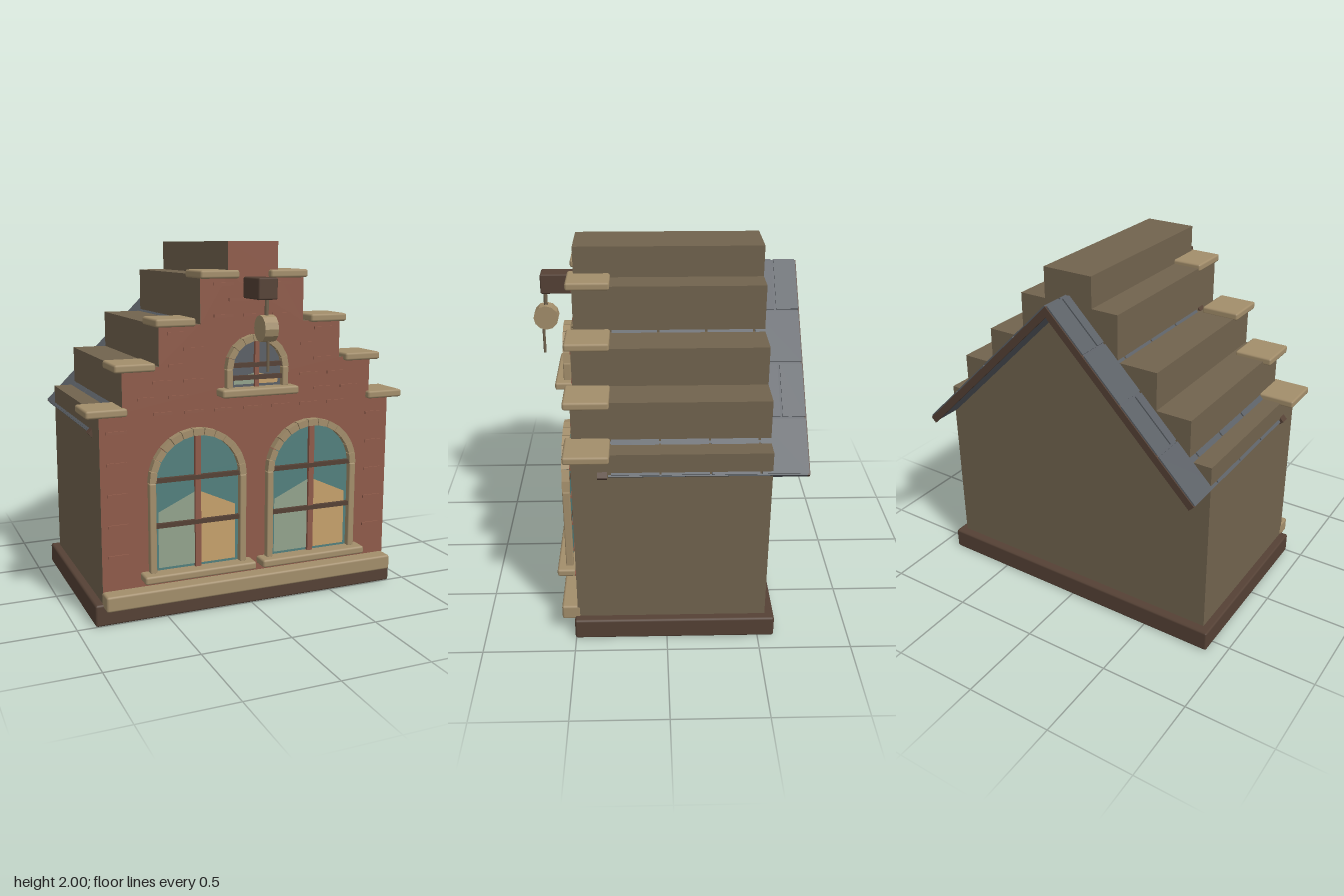
import * as THREE from 'three';
import { RoundedBoxGeometry } from 'three/addons/geometries/RoundedBoxGeometry.js';

const mat = (name, color, side = THREE.FrontSide) => {
  const m = new THREE.MeshStandardMaterial({ color, side });
  m.name = name;
  return m;
};

export function createModel() {
  const brick = mat('brick red', 0x8f5b4a);
  const stone = mat('sandstone', 0xa38e6b);
  const wall = mat('plaster brown', 0x71634e);
  const wood = mat('dark wood', 0x554135);
  const slate = mat('slate', 0x5b6066);
  const glass = mat('teal glass', 0x53807d, THREE.DoubleSide);
  const pale = mat('pale curtain', 0x93a38d, THREE.DoubleSide);
  const tan = mat('tan curtain', 0xc6a16c, THREE.DoubleSide);

  const model = new THREE.Group();
  model.name = 'steppedGableHouse';

  const add = (parent, name, geo, material, x = 0, y = 0, z = 0) => {
    const m = new THREE.Mesh(geo, material);
    m.name = name;
    m.position.set(x, y, z);
    parent.add(m);
    return m;
  };
  // box given by its limits, with optional rounded edges
  const box = (parent, name, material, [x0, x1], [y0, y1], [z0, z1], r = 0) => {
    const s = [x1 - x0, y1 - y0, z1 - z0];
    const geo = r ? new RoundedBoxGeometry(...s, 1, r) : new THREE.BoxGeometry(...s);
    return add(parent, name, geo, material, (x0 + x1) / 2, (y0 + y1) / 2, (z0 + z1) / 2);
  };
  const polygon = (pts) => new THREE.Shape(pts.map(([x, y]) => new THREE.Vector2(x, y)));

  // stepped body with a brick front: [half width, top of step]
  const steps = [[0.855, 1.135], [0.73, 1.365], [0.53, 1.575], [0.3, 1.83], [0.145, 2]];
  const half = [[0.855, 0.05]];
  steps.forEach(([w, top], i) => {
    half.push([w, top]);
    if (steps[i + 1]) half.push([steps[i + 1][0], top]);
  });
  const outline = polygon([...half, ...half.slice().reverse().map(([x, y]) => [-x, y])]);
  add(model, 'body', new THREE.ExtrudeGeometry(outline, { depth: 1.029, bevelEnabled: false }), wall, 0, 0, -0.54);
  add(model, 'brickFront', new THREE.ShapeGeometry(outline), brick, 0, 0, 0.49);

  // base and plinth
  box(model, 'base', wood, [-0.9, 0.9], [0, 0.12], [-0.59, 0.505], 0.012);
  box(model, 'plinth', stone, [-0.857, 0.857], [0.1, 0.185], [0.47, 0.575], 0.012);

  // coping stones on the steps: [inner x, outer x, bottom]
  const copings = [[0.71, 0.93, 1.12], [0.557, 0.777, 1.345], [0.335, 0.555, 1.568], [0.09, 0.31, 1.81]];
  for (const s of [-1, 1]) {
    for (const [a, b, y] of copings) {
      box(model, 'coping', stone, s > 0 ? [a, b] : [-b, -a], [y, y + 0.043], [0.29, 0.525], 0.012);
    }
  }

  // raised brick courses, kept clear of the windows and the edges
  const inWindow = (x, y) =>
    (y < 1.08 && Math.abs(Math.abs(x) - 0.338) < 0.36) ||
    (y > 1.15 && y < 1.56 && Math.abs(x) < 0.27);
  for (let row = 0; row < 19; row++) {
    const y = 0.28 + row * 0.083;
    const limit = steps.find(([, top]) => y < top - 0.03)[0] - 0.07;
    for (let i = -5; i <= 5; i++) {
      const x = i * 0.17 + (row % 2) * 0.085;
      const edge = Math.abs(x) > 0.74 && y < 1.08;
      if (Math.abs(x) > limit || (inWindow(x, y) && !edge)) continue;
      box(model, 'brickCourse', brick, [x - 0.055, x + 0.055], [y, y + 0.016], [0.488, 0.498]);
    }
  }

  // arched window: stone surround, panes, curtains, bars and sill
  const archedWindow = (cx, o) => {
    const g = new THREE.Group();
    g.name = o.name;
    g.position.x = cx;
    model.add(g);
    const { outer, inner, bottom, spring } = o;
    const pane = new THREE.Shape();
    pane.moveTo(-inner, bottom);
    pane.lineTo(inner, bottom);
    pane.lineTo(inner, spring);
    pane.absarc(0, spring, inner, 0, Math.PI, false);
    pane.closePath();
    add(g, 'pane', new THREE.ShapeGeometry(pane, 20), o.glass, 0, 0, 0.531);

    // jambs and arch stones
    for (const s of [-1, 1]) {
      const xs = s > 0 ? [inner, outer] : [-outer, -inner];
      box(g, 'jamb', stone, xs, [bottom, spring], [0.523, 0.565], 0.006);
    }
    const n = o.blocks;
    for (let i = 0; i < n; i++) {
      const a0 = (i / n) * Math.PI + 0.008, a1 = ((i + 1) / n) * Math.PI - 0.008;
      const block = polygon([[inner, a0], [outer, a0], [outer, a1], [inner, a1]]
        .map(([r, a]) => [r * Math.cos(a), spring + r * Math.sin(a)]));
      add(g, 'archStone', new THREE.ExtrudeGeometry(block, { depth: 0.042, bevelEnabled: false }), stone, 0, 0, 0.523);
    }

    // curtains rising to the middle
    for (const s of [-1, 1]) {
      const w = inner - 0.018, y0 = bottom + 0.018;
      const cloth = polygon([[0, y0], [s * w, y0], [s * w, o.curtain[0]], [0, o.curtain[1]]]);
      add(g, 'curtain', new THREE.ShapeGeometry(cloth), s < 0 ? pale : tan, 0, 0, 0.535);
    }

    // mullion, transoms and sill
    box(g, 'mullion', brick, [-o.bar, o.bar], [bottom, spring + inner], [0.53, 0.55]);
    for (const y of o.rails) box(g, 'transom', wood, [-inner, inner], [y - 0.012, y + 0.012], [0.53, 0.555]);
    box(g, 'sill', stone, [-o.sill, o.sill], [bottom - 0.04, bottom + 0.004], [0.51, 0.612], 0.012);
  };
  const large = {
    name: 'largeWindow', outer: 0.275, inner: 0.238, bottom: 0.275, spring: 0.765, blocks: 13,
    glass, curtain: [0.6, 0.7], bar: 0.016, rails: [0.53, 0.775], sill: 0.318,
  };
  archedWindow(-0.338, large);
  archedWindow(0.338, large);
  archedWindow(0, {
    name: 'atticWindow', outer: 0.18, inner: 0.145, bottom: 1.235, spring: 1.34, blocks: 9,
    glass: slate, curtain: [1.28, 1.315], bar: 0.012, rails: [1.29, 1.357], sill: 0.222,
  });

  // pitched roof with tiles and edge boards
  const length = 1.22;
  for (const s of [-1, 1]) {
    const slope = new THREE.Group();
    slope.name = s > 0 ? 'leftRoofSlope' : 'rightRoofSlope';
    slope.position.y = 1.875;
    slope.rotation.z = -s * Math.PI / 4;
    model.add(slope);
    const along = (a, b) => (s > 0 ? [a, b] : [-b, -a]);
    box(slope, 'roofSlab', slate, along(0, length), [-0.035, 0], [-0.718, 0.3]);
    box(slope, 'rearEdgeBoard', wood, along(0, length), [-0.04, 0], [-0.73, -0.718]);
    box(slope, 'frontEdgeBoard', wood, along(0, length + 0.01), [-0.05, 0.012], [0.305, 0.355]);
    for (let row = 0; row < 4; row++) {
      const d0 = row * length / 4 + 0.006, d1 = (row + 1) * length / 4 - 0.006;
      for (let i = -1; i < 5; i++) {
        const start = -0.6 + i * 0.257 + (row % 2) * 0.12;
        const z0 = Math.max(start + 0.006, -0.724), z1 = Math.min(start + 0.251, 0.3);
        if (z1 - z0 > 0.02) box(slope, 'roofTile', slate, along(d0, d1), [-0.002, 0.008], [z0, z1]);
      }
    }
  }

  // hoist beam, pulley and rope
  box(model, 'hoistBeam', wood, [-0.055, 0.055], [1.705, 1.817], [0.48, 0.68], 0.008);
  const wheel = new THREE.CylinderGeometry(0.07, 0.07, 0.076, 12).toNonIndexed();
  wheel.computeVertexNormals();
  wheel.rotateZ(Math.PI / 2);
  add(model, 'pulley', wheel, stone, 0, 1.558, 0.66);
  const rope = (y0, y1, z, r) =>
    add(model, 'rope', new THREE.CylinderGeometry(r, r, y1 - y0, 8), wall, 0, (y0 + y1) / 2, z);
  rope(1.6, 1.71, 0.66, 0.011);
  rope(1.335, 1.52, 0.68, 0.008);
  return model;
}
